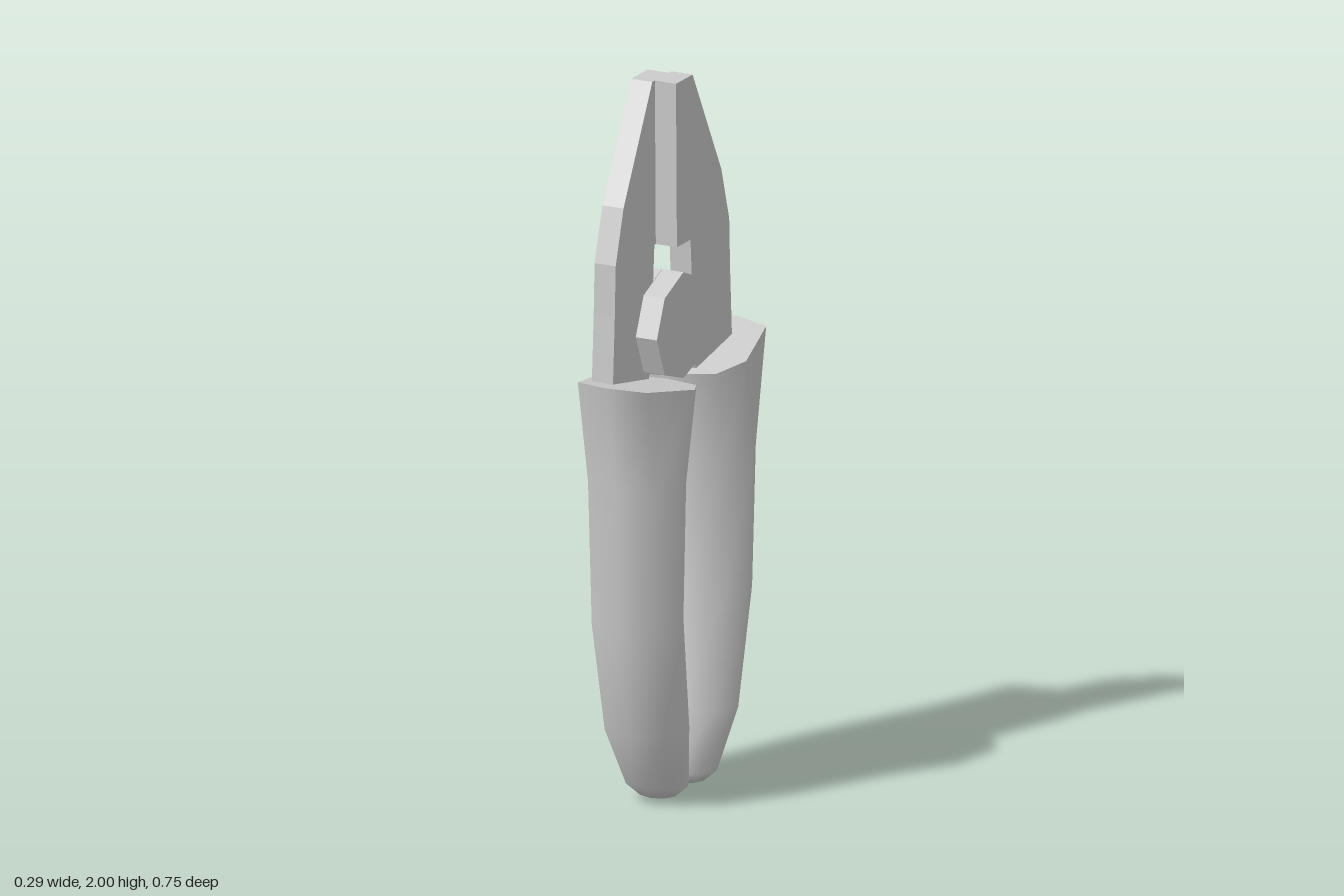
import * as THREE from 'three';

const SIDES = 8;

// Eight-sided sleeve lofted through slanted sections, smooth outside, flat cap on the rim
function gripGeometry() {
  // outer z, outer y, inner z, inner y, half width, fraction of corner, fraction of widest point
  const sections = [
    [0.375, 1.23, 0.025, 1.162, 0.147, 0.09, 0.65],
    [0.32, 0.93, 0.08, 0.92, 0.147, 0.146, 0.5],
    [0.31, 0.53, 0.085, 0.53, 0.137, 0.146, 0.5],
    [0.25, 0.22, 0.037, 0.21, 0.125, 0.146, 0.5],
    [0.165, 0.05, 0.002, 0.045, 0.092, 0.146, 0.5],
    [0.125, 0.014, 0.04, 0.012, 0.052, 0.146, 0.5],
  ];
  const pos = [], idx = [];
  for (const [zo, yo, zi, yi, w, c, m] of sections) {
    const along = [0, c, m, 1 - c, 1, 1 - c, m, c];
    along.forEach((f, j) => {
      const x = w * Math.sin((j / SIDES) * Math.PI * 2);
      pos.push(x, yo + (yi - yo) * f, zo + (zi - zo) * f);
    });
  }
  const rows = sections.length;
  const pole = rows * SIDES;
  pos.push(0, 0, 0.08);
  const cap = pole + 1;
  pos.push(...pos.slice(0, SIDES * 3)); // separate rim vertices keep the cap edge sharp
  for (let j = 0; j < SIDES; j++) {
    const k = (j + 1) % SIDES;
    for (let i = 0; i < rows - 1; i++) {
      const t = i * SIDES, b = t + SIDES;
      idx.push(t + j, b + j, t + k, b + j, b + k, t + k);
    }
    idx.push(pole - SIDES + j, pole, pole - SIDES + k);
    if (j > 0 && j < SIDES - 1) idx.push(cap, cap + j, cap + k);
  }
  const g = new THREE.BufferGeometry();
  g.setAttribute('position', new THREE.Float32BufferAttribute(pos, 3));
  g.setIndex(idx);
  g.computeVertexNormals();
  return g;
}

// Flat jaw with pivot hub and tang, outline in (z, y), extruded along x
function jawGeometry(mapZ, x0, thickness) {
  const outline = [
    [0.045, 2], [0.04, 1.54], [-0.038, 1.54], [-0.045, 1.44], // gripping edge and cutter notch
    [0.003, 1.46], [0.11, 1.415], [0.155, 1.31], [0.11, 1.2], [0.003, 1.163], // hub
    [-0.065, 1.185], [-0.1, 1.1], [-0.28, 1.1], // tang inside the grip
    [-0.275, 1.22], [-0.265, 1.4], [-0.26, 1.54], [-0.215, 1.69], [-0.05, 2], // back of the jaw
  ];
  const shape = new THREE.Shape(outline.map(([z, y]) => new THREE.Vector2(-mapZ(z), y)));
  const g = new THREE.ExtrudeGeometry(shape, { depth: thickness, bevelEnabled: false });
  g.rotateY(Math.PI / 2);
  g.translate(x0, 0, 0);
  return g;
}

export function createModel() {
  const model = new THREE.Group();
  model.name = 'pliers';
  const metal = new THREE.MeshStandardMaterial({ color: 0xcccccc, flatShading: true });
  const rubber = new THREE.MeshStandardMaterial({ color: 0xcccccc });
  const add = (name, geometry, material) => {
    const mesh = new THREE.Mesh(geometry, material);
    mesh.name = name;
    model.add(mesh);
    return mesh;
  };

  // Two overlapping jaws, mirrored about the pivot
  add('backJaw', jawGeometry((z) => z, -0.028, 0.064), metal);
  add('frontJaw', jawGeometry((z) => 0.01 - z, -0.092, 0.064), metal);

  // Two grips, the second turned half round
  const grip = gripGeometry();
  add('frontGrip', grip, rubber);
  add('backGrip', grip, rubber).rotation.y = Math.PI;

  return model;
}
